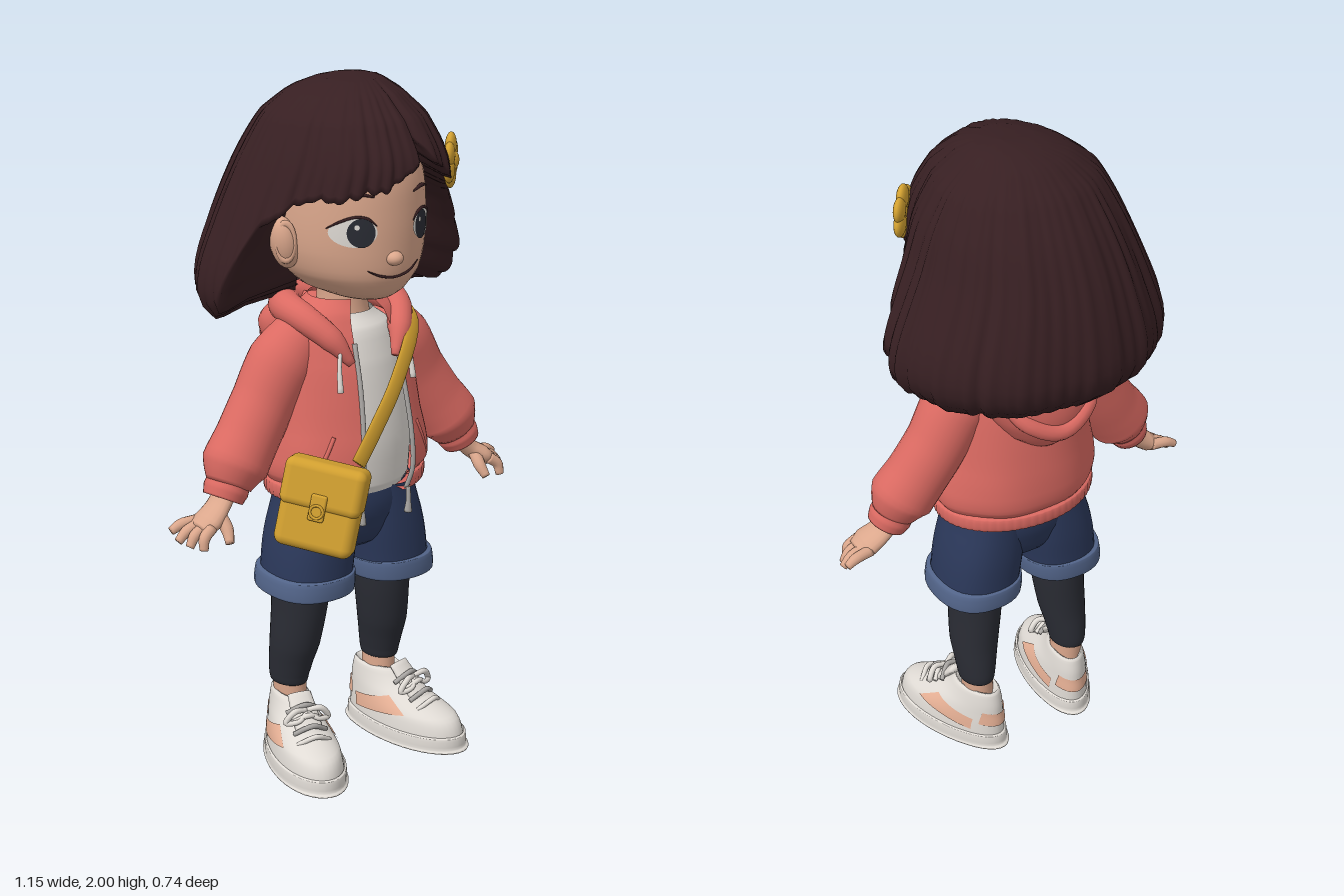
import * as THREE from 'three';
import { RoundedBoxGeometry } from 'three/addons/geometries/RoundedBoxGeometry.js';

const TAU = Math.PI * 2;
const mat = (name, color) => new THREE.MeshStandardMaterial({ name, color, side: THREE.DoubleSide });
const M = {
  hair: mat('dark brown hair', 0x371f22), skin: mat('skin', 0xdba78c), coral: mat('coral jacket', 0xdb6a62),
  yellow: mat('mustard yellow', 0xd2a030), denim: mat('denim', 0x2b385a), cuff: mat('light denim', 0x526489),
  black: mat('charcoal leggings', 0x2a2c34), white: mat('off white', 0xe0dbd5), peach: mat('peach trim', 0xe6b095),
  grey: mat('grey metal and laces', 0xa8a5a2),
};

// Surface over rows u and columns v, facing out when rows go down and columns go counter-clockwise
function grid(nr, nc, closed, fn) {
  const pos = [], idx = [], w = closed ? nc : nc + 1;
  for (let i = 0; i <= nr; i++) for (let j = 0; j < w; j++) pos.push(...fn(i / nr, j / nc));
  for (let i = 0; i < nr; i++) for (let j = 0; j < nc; j++) {
    const k = (j + 1) % w, a = i * w + j, b = a + w, c = (i + 1) * w + k, d = i * w + k;
    idx.push(a, b, c, a, c, d);
  }
  const g = new THREE.BufferGeometry();
  g.setAttribute('position', new THREE.Float32BufferAttribute(pos, 3));
  g.setIndex(idx);
  g.computeVertexNormals();
  return g;
}

// Smooth interpolation between table rows; the first column stays linear
function between(rows, k, s) {
  const p = (i) => rows[Math.max(0, Math.min(rows.length - 1, i))];
  return rows[k].map((b, n) => {
    const a = p(k - 1)[n], c = p(k + 1)[n], d = p(k + 2)[n];
    if (n === 0) return b + (c - b) * s;
    return b + 0.5 * s * (c - a + s * (2 * a - 5 * b + 4 * c - d + s * (3 * (b - c) + d - a)));
  });
}
function atY(rows, y) {
  let k = 0;
  while (k < rows.length - 2 && y < rows[k + 1][0]) k++;
  return between(rows, k, Math.min(1, Math.max(0, (rows[k][0] - y) / (rows[k][0] - rows[k + 1][0]))));
}
function atT(rows, t) {
  const x = t * (rows.length - 1), k = Math.min(rows.length - 2, Math.floor(x));
  return between(rows, k, x - k);
}
// Elliptical rings, rows of [y, cx, cz, rx, rz] from top to bottom
function loft(rows, { a0 = 0, a1 = TAU, n = 36, f = () => 1 } = {}) {
  const closed = a1 - a0 > TAU - 1e-3;
  return grid((rows.length - 1) * 4, n, closed, (u, v) => {
    const [y, cx, cz, rx, rz] = atT(rows, u), a = a0 + (a1 - a0) * v, m = f(a, y);
    return [cx + rx * m * Math.sin(a), y, cz + rz * m * Math.cos(a)];
  });
}
const surfaceZ = (rows, x, y) => {
  const [, cx, cz, rx, rz] = atY(rows, y);
  return cz + rz * Math.sqrt(Math.max(0, 1 - ((x - cx) / rx) ** 2));
};
// Tapered tube through points [x, y, z, r]; kn and kb flatten its section
function limb(pts, { kn = 1, kb = 1, ref = [0, 0, 1], n = 12 } = {}) {
  const curve = new THREE.CatmullRomCurve3(pts.map((p) => new THREE.Vector3(p[0], p[1], p[2])));
  const R = new THREE.Vector3(...ref), nr = (pts.length - 1) * 5 + 2, last = pts.length - 1;
  return grid(nr, n, true, (u, v) => {
    const i = Math.round(u * nr), t = Math.min(1, Math.max(0, (i - 1) / (nr - 2)));
    const k = Math.min(last - 1, Math.floor(t * last)), s = t * last - k;
    const r = i === 0 || i === nr ? 0 : pts[k][3] + (pts[k + 1][3] - pts[k][3]) * s;
    const T = curve.getTangent(t), N = R.clone().cross(T).normalize(), B = T.cross(N);
    const p = curve.getPoint(t).addScaledVector(N, r * kn * Math.cos(v * TAU));
    return p.addScaledVector(B, -r * kb * Math.sin(v * TAU)).toArray();
  });
}
function add(parent, name, geo, material, pos = [0, 0, 0], scale = [1, 1, 1]) {
  const m = new THREE.Mesh(geo, material);
  m.name = name;
  m.position.set(...pos);
  m.scale.set(...scale);
  parent.add(m);
  return m;
}
const ball = () => new THREE.SphereGeometry(1, 24, 16);

const HEAD = [[1.93, 0.012, 0.05, 0, 0], [1.91, 0.012, 0.05, 0.08, 0.09], [1.85, 0.012, 0.05, 0.16, 0.18], [1.75, 0.012, 0.05, 0.2, 0.22],
  [1.65, 0.012, 0.05, 0.21, 0.23], [1.55, 0.012, 0.05, 0.206, 0.23], [1.48, 0.012, 0.055, 0.183, 0.218],
  [1.43, 0.012, 0.07, 0.132, 0.178], [1.405, 0.012, 0.09, 0.075, 0.12], [1.4, 0.012, 0.1, 0, 0]];
const JACKET = [[1.39, 0.005, 0.035, 0.1, 0.09], [1.35, 0.005, 0.035, 0.165, 0.115], [1.29, 0.005, 0.037, 0.198, 0.142], [1.2, 0.005, 0.04, 0.212, 0.172],
  [1.05, 0.005, 0.047, 0.232, 0.192], [0.95, 0.005, 0.052, 0.252, 0.202], [0.9, 0.005, 0.052, 0.252, 0.197], [0.87, 0.005, 0.05, 0.235, 0.177]];
// Hair outline: [y, centre x, half width, front depth, back depth]
const HAIR = [[2, 0.06, 0, 0, 0], [1.99, 0.04, 0.085, 0.11, 0.07], [1.96, 0.02, 0.152, 0.195, 0.135], [1.9, 0.015, 0.223, 0.268, 0.205],
  [1.8, 0.015, 0.278, 0.325, 0.272], [1.7, 0.01, 0.318, 0.33, 0.318], [1.6, 0.01, 0.36, 0.315, 0.35], [1.5, 0.01, 0.398, 0.29, 0.37],
  [1.43, 0.01, 0.408, 0.28, 0.374], [1.38, 0.01, 0.395, 0.27, 0.358], [1.33, 0.01, 0.35, 0.25, 0.31], [1.3, 0.01, 0.3, 0.2, 0.25]];
// Hair hem height by angle from the front
const HEM = [[-180, 1.33], [-110, 1.34], [-92, 1.37], [-84, 1.46], [-74, 1.62], [-58, 1.695], [-35, 1.715], [-12, 1.74], [3, 1.79], [11, 1.855],
  [20, 1.79], [40, 1.73], [58, 1.68], [74, 1.61], [84, 1.45], [92, 1.37], [110, 1.34], [180, 1.33]];

function buildHair(g) {
  const hemAt = (deg) => {
    const k = Math.max(0, HEM.findIndex((h) => h[0] >= deg) - 1), [a, b] = [HEM[k], HEM[k + 1]];
    return THREE.MathUtils.lerp(a[1], b[1], (deg - a[0]) / (b[0] - a[0]));
  };
  // Outer rows run crown to hem, the last three fold under
  const outer = 28, nr = outer + 3, fold = [[0.93, 0.005], [0.76, 0.03], [0.35, 0.06]];
  add(g, 'hair', grid(nr, 260, true, (u, v) => {
    const a = v * TAU - Math.PI, i = Math.round(u * nr), t = Math.min(1, i / outer);
    // Uneven strands
    const wave = a + 0.14 * Math.sin(3 * a + 1) + 0.06 * Math.sin(7 * a + 2 * t);
    const ridge = 0.4 * Math.abs(Math.sin(6.5 * wave)) + 0.35 * Math.abs(Math.sin(15 * wave + 1)) + 0.25 * Math.abs(Math.sin(26 * a + 2 * t));
    const hem = hemAt(a * 180 / Math.PI) + 0.025 * (0.6 - ridge);
    let y = 2 - (2 - hem) * t ** 1.7;
    const [, cx, w, f, b] = atY(HAIR, y);
    // Parting groove, and temples drawn in
    const part = Math.exp(-(((a - 0.19) / 0.07) ** 2)) * 0.07;
    const temple = Math.exp(-(((Math.abs(a) - 1.05) / 0.3) ** 2)) * 0.06 * t;
    let m = 1 + Math.min(1, t * 2.5) * (0.055 * (ridge - 0.6) - part) - temple;
    if (i > outer) { m *= fold[i - outer - 1][0]; y += fold[i - outer - 1][1]; }
    return [cx + w * m * Math.sin(a), y, 0.01 + (Math.cos(a) > 0 ? f : b) * m * Math.cos(a)];
  }), M.hair);
  // Flower clip
  const clip = new THREE.Group();
  clip.name = 'flowerClip';
  clip.position.set(0.252, 1.76, 0.203);
  clip.rotation.y = 0.8;
  for (let i = 0; i < 6; i++) add(clip, 'petal', ball(), M.yellow, [0.042 * Math.sin(i * TAU / 6), 0.042 * Math.cos(i * TAU / 6), 0], [0.036, 0.036, 0.016]);
  add(clip, 'flowerCentre', ball(), M.yellow, [0, 0, 0.006], [0.028, 0.028, 0.018]);
  g.add(clip);
}

function buildHead(g) {
  add(g, 'head', loft(HEAD, { n: 48 }), M.skin);
  add(g, 'neck', loft([[1.46, 0.01, 0.03, 0.075, 0.075], [1.36, 0.01, 0.03, 0.072, 0.075], [1.26, 0.01, 0.03, 0.1, 0.09]]), M.skin);
  add(g, 'nose', ball(), M.skin, [0.005, 1.535, 0.278], [0.025, 0.02, 0.026]);
  const patch = (name, x, y, rx, ry, off, m) => add(g, name, grid(4, 28, false, (u, v) => {
    const px = x + rx * u * Math.cos(v * TAU), py = y + ry * u * Math.sin(v * TAU);
    return [px, py, surfaceZ(HEAD, px, py) + off];
  }), m);
  const line = (name, pts, r) => add(g, name, limb(pts.map(([x, y], i) =>
    [x, y, surfaceZ(HEAD, x, y) + 0.003, i === 0 || i === pts.length - 1 ? r * 0.4 : r]), { n: 8 }), M.hair);
  for (const s of [-1, 1]) {
    const x = (d) => 0.01 + s * d;
    add(g, 'ear', ball(), M.skin, [x(0.215), 1.565, 0.06], [0.038, 0.075, 0.045]).rotation.z = -s * 0.2;
    add(g, 'earRim', new THREE.TorusGeometry(0.036, 0.008, 8, 20), M.skin, [x(0.227), 1.572, 0.085], [0.7, 1.4, 1]).rotation.y = s * 0.7;
    patch('eyeWhite', x(0.112), 1.612, 0.053, 0.04, 0.003, M.white);
    patch('iris', x(0.099), 1.612, 0.033, 0.04, 0.006, M.black);
    patch('eyeGlint', x(0.099) - 0.012, 1.628, 0.006, 0.007, 0.008, M.white);
    line('eyelid', [[x(0.06), 1.63], [x(0.083), 1.65], [x(0.112), 1.655], [x(0.142), 1.643], [x(0.168), 1.622]], 0.004);
    line('eyebrow', [[x(0.065), 1.708], [x(0.105), 1.716], [x(0.15), 1.704]], 0.006);
  }
  line('mouth', [[-0.07, 1.505], [-0.035, 1.489], [0.01, 1.482], [0.06, 1.491], [0.1, 1.512]], 0.0035);
}

function buildJacket(g) {
  const a0 = 0.43, a1 = TAU - 0.3, gap = { a0, a1, n: 48 };
  const folds = (a, y) => 1 + 0.012 * Math.sin(7 * a + 9 * y) * Math.min(1, Math.max(0, (1.3 - y) * 3));
  add(g, 'shirt', loft([[1.345, 0.01, 0.03, 0.085, 0.085], [1.3, 0.01, 0.035, 0.14, 0.12], [1.2, 0.01, 0.035, 0.18, 0.15],
    [1, 0.01, 0.05, 0.195, 0.16], [0.86, 0.01, 0.065, 0.185, 0.14], [0.835, 0.01, 0.065, 0.17, 0.13]]), M.white);
  add(g, 'jacketBody', loft(JACKET, { ...gap, f: folds }), M.coral);
  add(g, 'jacketHem', loft([[0.88, 0.005, 0.05, 0.235, 0.177], [0.872, 0.005, 0.05, 0.248, 0.19], [0.835, 0.005, 0.05, 0.246, 0.188],
    [0.825, 0.005, 0.05, 0.225, 0.168], [0.84, 0.005, 0.05, 0.18, 0.14]], { ...gap, n: 160, f: (a) => 1 + 0.006 * Math.sin(a * 60) }), M.coral);
  for (const [a, s] of [[a0, 1], [a1, -1]]) {
    const edge = [1.28, 1.15, 1, 0.9, 0.835].map((y) => {
      const [, cx, cz, rx, rz] = atY(JACKET, y);
      return [cx + rx * Math.sin(a), y, cz + rz * Math.cos(a) + 0.003, 0.007];
    });
    add(g, 'zipper', limb(edge), M.grey);
    const [ex, , ez] = edge[4];
    add(g, 'zipperPull', limb([[ex, 0.84, ez + 0.01, 0.007], [ex, 0.8, ez + 0.012, 0.007], [ex, 0.765, ez + 0.01, 0.012]]), M.grey);
    add(g, 'drawstring', limb([[s * 0.1, 1.3, 0.18, 0.006], [s * 0.12, 1.23, 0.2, 0.006], [s * 0.125, 1.16, 0.212, 0.009]]), M.white);
    add(g, 'pocketWelt', limb([0, 0.5, 1].map((t) => {
      const x = s * (0.14 + 0.05 * t), y = 1.03 - 0.11 * t;
      return [x, y, surfaceZ(JACKET, x, y), 0.006];
    })), M.coral);
    // Sleeve, ribbed cuff and hand
    const side = (pts) => pts.map(([x, y, z, r]) => [s * x, y, z, r]);
    add(g, 'sleeve', limb(side([[0.13, 1.285, 0.035, 0.085], [0.2, 1.215, 0.035, 0.1], [0.262, 1.115, 0.035, 0.093], [0.325, 1.02, 0.045, 0.093],
      [0.372, 0.955, 0.055, 0.097], [0.398, 0.905, 0.062, 0.066]]), { n: 28, kb: 0.93 }), M.coral);
    add(g, 'sleeveCuff', limb(side([[0.395, 0.915, 0.06, 0.062], [0.408, 0.893, 0.063, 0.064], [0.42, 0.87, 0.066, 0.057]]), { n: 28 }), M.coral);
    add(g, 'palm', limb(side([[0.4, 0.9, 0.062, 0.042], [0.44, 0.85, 0.068, 0.045], [0.48, 0.82, 0.078, 0.053], [0.51, 0.803, 0.08, 0.04]]), { kn: 0.55, n: 18 }), M.skin);
    const tips = [[0.568, 0.797], [0.565, 0.775], [0.548, 0.765], [0.522, 0.76]];
    tips.forEach(([x, y], k) => add(g, 'finger', limb(side([[0.487, 0.815, 0.042 + k * 0.024, 0.017],
      [(0.5 + x) / 2 + 0.005, (0.825 + y) / 2, 0.035 + k * 0.029, 0.016], [x, y, 0.032 + k * 0.032, 0.012]])), M.skin));
    add(g, 'thumb', limb(side([[0.45, 0.84, 0.09, 0.02], [0.445, 0.805, 0.125, 0.018], [0.452, 0.772, 0.15, 0.012]])), M.skin);
  }
  // Hood lying on the back, with its rim around the neck
  add(g, 'hoodBag', loft([[1.38, 0, -0.06, 0.06, 0.02], [1.36, 0, -0.06, 0.15, 0.08], [1.3, 0, -0.085, 0.18, 0.115], [1.22, 0, -0.085, 0.16, 0.122],
    [1.15, 0, -0.08, 0.11, 0.1], [1.11, 0, -0.08, 0.06, 0.07], [1.095, 0, -0.08, 0, 0]], { f: (a, y) => 1 + 0.02 * Math.sin(30 * y + 2 * Math.cos(a)) }), M.coral);
  const half = [[0.075, 1.23, 0.195, 0.012], [0.115, 1.295, 0.16, 0.034], [0.155, 1.345, 0.09, 0.04], [0.155, 1.36, 0, 0.046], [0.1, 1.35, -0.08, 0.05]];
  const rim = [...half, [0, 1.345, -0.11, 0.052], ...half.map(([x, y, z, r]) => [-x, y, z, r]).reverse()];
  add(g, 'hoodRim', limb(rim, { ref: [0, 1, 0], n: 18 }), M.coral);
  add(g, 'hoodFold', limb([[-0.16, 1.32, -0.1, 0.015], [-0.1, 1.23, -0.175, 0.025], [0, 1.185, -0.2, 0.026], [0.1, 1.23, -0.175, 0.025], [0.16, 1.32, -0.1, 0.015]]), M.coral);
}

function buildLegs(g) {
  const boxy = { f: (a) => 1 + 0.06 * Math.sin(2 * a) ** 2 };
  add(g, 'shortsTop', loft([[0.87, 0, 0.055, 0.19, 0.135], [0.8, 0, 0.055, 0.206, 0.142], [0.74, 0, 0.055, 0.205, 0.132], [0.67, 0, 0.055, 0.17, 0.1], [0.61, 0, 0.055, 0, 0]]), M.denim);
  for (const s of [-1, 1]) {
    add(g, 'shortsLeg', loft([[0.84, s * 0.1, 0.055, 0.1, 0.134], [0.7, s * 0.12, 0.055, 0.119, 0.14], [0.58, s * 0.135, 0.057, 0.12, 0.138]], boxy), M.denim);
    add(g, 'shortsCuff', loft([[0.602, s * 0.137, 0.057, 0.118, 0.136], [0.598, s * 0.138, 0.057, 0.13, 0.148], [0.55, s * 0.142, 0.057, 0.131, 0.15],
      [0.54, s * 0.142, 0.057, 0.121, 0.141], [0.57, s * 0.14, 0.05, 0.07, 0.09]], boxy), M.cuff);
    add(g, 'legging', loft([[0.62, s * 0.145, 0.045, 0.08, 0.105], [0.48, s * 0.148, 0.04, 0.076, 0.094], [0.36, s * 0.158, 0.03, 0.07, 0.082],
      [0.27, s * 0.164, 0.012, 0.057, 0.07], [0.232, s * 0.165, 0.008, 0.05, 0.063], [0.229, s * 0.165, 0.008, 0.03, 0.04]]), M.black);
    add(g, 'ankle', loft([[0.24, s * 0.163, 0.008, 0.045, 0.057], [0.14, s * 0.16, 0.01, 0.044, 0.056]]), M.skin);
    buildShoe(g, s);
  }
}

function buildShoe(g, s) {
  const shoe = new THREE.Group();
  shoe.name = s > 0 ? 'leftShoe' : 'rightShoe';
  shoe.position.x = s * 0.16;
  shoe.rotation.y = s * 0.24;
  const upper = [[0.16, 0, 0.01, 0.03, 0.05], [0.203, 0, 0.008, 0.05, 0.077], [0.193, 0, 0.01, 0.06, 0.087], [0.155, 0, 0.03, 0.072, 0.114], [0.12, 0, 0.072, 0.086, 0.158],
    [0.09, 0, 0.106, 0.096, 0.195], [0.04, 0, 0.117, 0.102, 0.206]];
  const taper = (geo) => {
    const p = geo.attributes.position;
    for (let i = 0; i < p.count; i++) p.setX(i, p.getX(i) * (0.84 + 0.5 * Math.max(0, Math.min(0.32, p.getZ(i) + 0.02))));
    geo.computeVertexNormals();
    return geo;
  };
  add(shoe, 'shoeUpper', taper(loft(upper, { n: 40 })), M.white);
  add(shoe, 'sole', taper(loft([[0.05, 0, 0.117, 0.103, 0.207], [0.046, 0, 0.117, 0.109, 0.214], [0.012, 0, 0.117, 0.11, 0.215], [0, 0, 0.117, 0.104, 0.209],
    [0, 0, 0.117, 0, 0]], { n: 40 })), M.white);
  // Peach side stripes and heel band
  const band = (name, y0, y1, a0, a1) => add(shoe, name, taper(grid(6, 20, false, (u, v) => {
    const a = a0 + (a1 - a0) * v, [y, , cz, rx, rz] = atY(upper.slice(2), y0 + (y1 - y0) * u + 0.03 * Math.cos(a));
    return [(rx + 0.004) * Math.sin(a), y, cz + (rz + 0.004) * Math.cos(a)];
  })), M.peach);
  band('sideStripe', 0.125, 0.085, 1.15, 2.3);
  band('sideStripe', 0.125, 0.085, -2.3, -1.15);
  band('heelBand', 0.16, 0.115, 2.45, TAU - 2.45);
  // Tongue, laces and bow
  add(shoe, 'tongue', limb([[0, 0.11, 0.2, 0.04], [0, 0.16, 0.14, 0.042], [0, 0.215, 0.085, 0.036]], { ref: [1, 0, 0], kn: 0.35 }), M.white);
  for (let i = 0; i < 4; i++) {
    const z = 0.215 - i * 0.03, y = 0.126 + i * 0.02;
    add(shoe, 'lace', limb([[-0.05, y - 0.014, z - 0.012, 0.007], [0, y + 0.012, z + 0.008, 0.008], [0.05, y - 0.014, z - 0.012, 0.007]]), i % 2 ? M.grey : M.white);
  }
  for (const d of [-1, 1]) add(shoe, 'laceLoop', limb([[0, 0.188, 0.145, 0.007], [d * 0.04, 0.193, 0.155, 0.009], [d * 0.065, 0.16, 0.15, 0.009], [d * 0.03, 0.165, 0.165, 0.007], [0, 0.183, 0.15, 0.007]]), M.white);
  g.add(shoe);
}

function buildBag(g) {
  add(g, 'bagStrap', limb([[0.165, 1.345, 0.06, 0.026], [0.16, 1.315, 0.158, 0.026], [0.045, 1.17, 0.242, 0.026], [-0.05, 1.06, 0.275, 0.026],
    [-0.12, 0.975, 0.29, 0.026]], { kb: 0.3, n: 16 }), M.yellow);
  const bag = new THREE.Group();
  bag.name = 'shoulderBag';
  bag.position.set(-0.225, 0.865, 0.262);
  bag.rotation.set(0, -0.86, -0.24, 'ZYX');
  add(bag, 'bagBody', new RoundedBoxGeometry(0.225, 0.25, 0.085, 4, 0.028), M.yellow);
  add(bag, 'bagFlap', new RoundedBoxGeometry(0.232, 0.135, 0.098, 4, 0.025), M.yellow, [0, 0.06, 0.002]);
  add(bag, 'bagTab', new RoundedBoxGeometry(0.045, 0.075, 0.014, 3, 0.006), M.yellow, [0, 0.005, 0.052]);
  add(bag, 'bagBuckle', new THREE.TorusGeometry(0.018, 0.004, 8, 20), M.yellow, [0, -0.005, 0.059]);
  g.add(bag);
}

export function createModel() {
  const model = new THREE.Group();
  model.name = 'girl';
  for (const [name, build] of [['headGroup', buildHead], ['hairGroup', buildHair], ['jacketGroup', buildJacket], ['legsGroup', buildLegs], ['bagGroup', buildBag]]) {
    const g = new THREE.Group();
    g.name = name;
    build(g);
    model.add(g);
  }
  return model;
}
